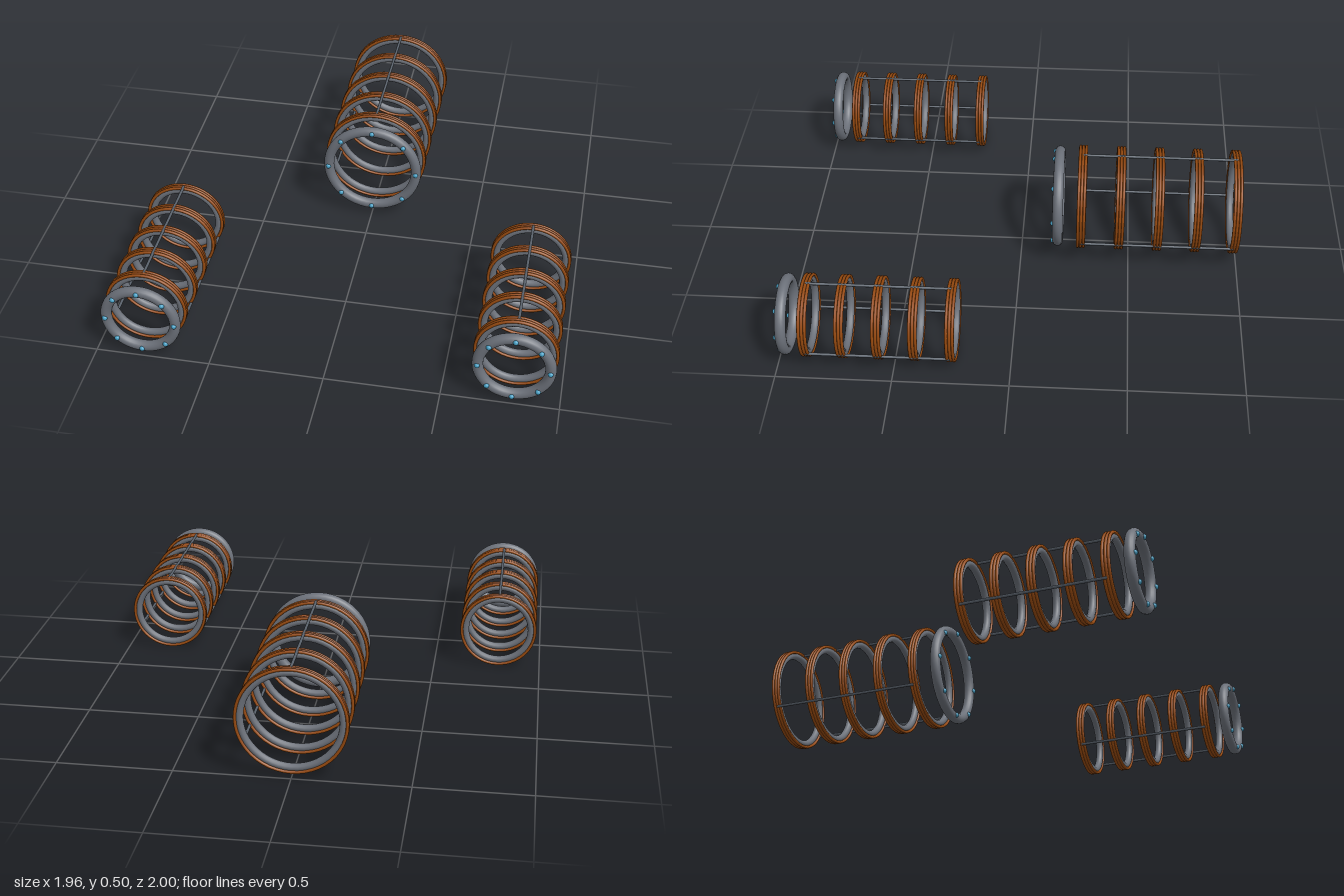
import * as THREE from 'three';

const mat = (name, color) => {
  const m = new THREE.MeshStandardMaterial({ color });
  m.name = name;
  return m;
};

export function createModel() {
  const steel = mat('steel', 0x6c717a);
  const rodSteel = mat('dark steel', 0x59616b);
  const copper = mat('copper', 0x95490f);
  const glow = mat('blue light', 0x469fc4);

  const add = (parent, name, geometry, material, x = 0, y = 0, z = 0) => {
    const mesh = new THREE.Mesh(geometry, material);
    mesh.name = name;
    mesh.position.set(x, y, z);
    parent.add(mesh);
    return mesh;
  };

  // One coil barrel: front collar with lights, five wound rings, three tie rods
  function createBarrel({ name, x, y, radius, collarRadius, collarZ, firstZ, lastZ }) {
    const barrel = new THREE.Group();
    barrel.name = name;
    barrel.position.set(x, y, 0);

    // Rounded collar with eight small lights on its front
    const collar = new THREE.Group();
    collar.name = 'frontCollar';
    collar.position.z = collarZ;
    barrel.add(collar);
    add(collar, 'collarRing', new THREE.TorusGeometry(collarRadius, 0.024, 16, 48), steel);
    const bulb = new THREE.SphereGeometry(0.012, 12, 8);
    for (let i = 0; i < 8; i++) {
      const a = (i * Math.PI) / 4;
      add(collar, 'collarLight', bulb, glow,
        Math.cos(a) * collarRadius, Math.sin(a) * collarRadius, 0.021);
    }

    // Steel core rings, each wrapped by three copper turns
    const coreGeo = new THREE.TorusGeometry(radius - 0.024, 0.017, 12, 48);
    const wireGeo = new THREE.TorusGeometry(radius - 0.007, 0.007, 8, 48);
    for (let i = 0; i < 5; i++) {
      const coil = new THREE.Group();
      coil.name = 'coil';
      coil.position.z = THREE.MathUtils.lerp(firstZ, lastZ, i / 4);
      barrel.add(coil);
      add(coil, 'coilCore', coreGeo, steel);
      for (const dz of [-0.0135, 0, 0.0135]) add(coil, 'coilWire', wireGeo, copper, 0, 0, dz);
    }

    // Tie rods along the barrel: one on top, two low at the sides
    const rodGeo = new THREE.CylinderGeometry(0.0065, 0.0065, firstZ - lastZ, 10);
    rodGeo.rotateX(Math.PI / 2);
    for (let i = 0; i < 3; i++) {
      const a = Math.PI / 2 + (i * Math.PI * 2) / 3;
      const r = radius - 0.005;
      add(barrel, 'tieRod', rodGeo, rodSteel,
        Math.cos(a) * r, Math.sin(a) * r, (firstZ + lastZ) / 2);
    }
    return barrel;
  }

  const model = new THREE.Group();
  model.name = 'coilBarrels';
  model.add(createBarrel({
    name: 'centreBarrel', x: 0, y: 0.264, radius: 0.24,
    collarRadius: 0.209, collarZ: -0.17, firstZ: -0.277, lastZ: -0.979,
  }));
  for (const side of [-1, 1]) {
    model.add(createBarrel({
      name: side > 0 ? 'leftBarrel' : 'rightBarrel', x: side * 0.798, y: 0.184, radius: 0.18,
      collarRadius: 0.152, collarZ: 0.967, firstZ: 0.873, lastZ: 0.252,
    }));
  }
  return model;
}
